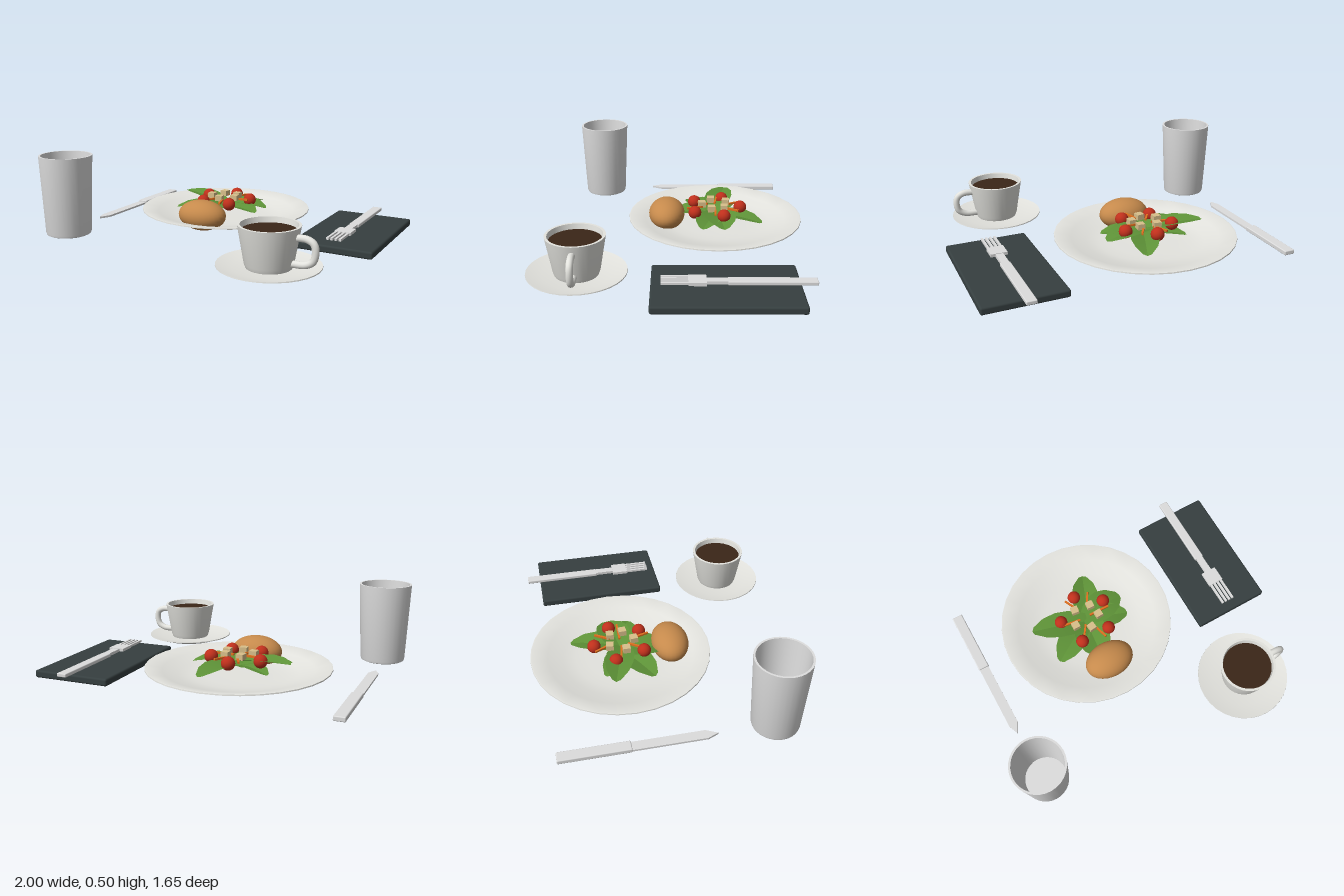
import * as THREE from 'three';
import { toCreasedNormals } from 'three/addons/utils/BufferGeometryUtils.js';
import { RoundedBoxGeometry } from 'three/addons/geometries/RoundedBoxGeometry.js';

const material = (name, color, extra = {}) => {
  const m = new THREE.MeshStandardMaterial({ color, ...extra });
  m.name = name;
  return m;
};

export function createModel() {
  const root = new THREE.Group();
  root.name = 'placeSetting';
  const ceramic = material('ceramic', 0xe4e4df);
  const glassMat = material('glass', 0xdedede);
  const steel = material('steel', 0xdcdcdc);
  const slate = material('napkin', 0x363f40);
  const coffeeMat = material('coffee', 0x3a2618);
  const bread = material('bread', 0xc68a4c);
  const green = material('leaf', 0x5f9438, { side: THREE.DoubleSide });
  const red = material('tomato', 0xc0301c);
  const orange = material('carrot', 0xe0701f);
  const tan = material('crouton', 0xd8bf8a);

  const group = (name, x = 0, y = 0, z = 0) => {
    const g = new THREE.Group();
    g.name = name;
    g.position.set(x, y, z);
    root.add(g);
    return g;
  };
  const add = (parent, name, geometry, mat, x = 0, y = 0, z = 0) => {
    const m = new THREE.Mesh(geometry, mat);
    m.name = name;
    m.position.set(x, y, z);
    parent.add(m);
    return m;
  };
  // Closed profile, from the underside axis out to the rim and back to the axis
  const lathe = (profile, crease = 0.6, sides = 32) => toCreasedNormals(
    new THREE.LatheGeometry(profile.map(([r, y]) => new THREE.Vector2(r, y)), sides), crease);
  const box = (w, h, d) => new THREE.BoxGeometry(w, h, d);
  const rounded = (w, h, d, r) => new RoundedBoxGeometry(w, h, d, 2, r);

  // Dinner plate
  const meal = group('meal', -0.137, 0, -0.273);
  add(meal, 'plate', lathe([
    [0, 0.012], [0.14, 0.01], [0.18, 0.008], [0.2, 0.018], [0.28, 0.02], [0.363, 0.031], [0.46, 0.057],
    [0.553, 0.085], [0.552, 0.092], [0.545, 0.093], [0.45, 0.072], [0.36, 0.046], [0.28, 0.036],
    [0.2, 0.034], [0, 0.034]], 0.9), ceramic);

  // Bread roll
  add(meal, 'breadRoll', new THREE.SphereGeometry(1, 28, 18), bread, 0, 0.101, 0.31).scale.set(0.16, 0.096, 0.115);

  // Salad leaves: cross-sections folded up along the midrib
  const leaf = (bx, bz, tx, tz, width, baseY, tipY) => {
    const dx = tx - bx, dz = tz - bz, len = Math.hypot(dx, dz);
    const px = -dz / len, pz = dx / len;
    const shape = [0.3, 0.72, 0.98, 1, 0.78, 0.3];
    const n = shape.length - 1, pos = [], index = [];
    shape.forEach((s, i) => {
      const t = i / n, w = s * width / 2;
      const y = baseY + (tipY - baseY) * t + 0.015 * Math.sin(Math.PI * t);
      for (const side of [-1, 0, 1]) {
        const u = t - (side && i === n ? 0.03 : 0);
        pos.push(bx + dx * u + px * w * side, y + Math.abs(side) * w * 0.25, bz + dz * u + pz * w * side);
      }
      if (i === n) return;
      for (const a of [i * 3, i * 3 + 1]) index.push(a, a + 1, a + 4, a, a + 4, a + 3);
    });
    const g = new THREE.BufferGeometry();
    g.setAttribute('position', new THREE.Float32BufferAttribute(pos, 3));
    g.setIndex(index);
    return toCreasedNormals(g, 0.35);
  };
  [
    [0.0, 0.04, 0.13, -0.295, 0.17, 0.10, 0.085],
    [0.06, 0.03, -0.345, -0.08, 0.17, 0.095, 0.15],
    [-0.03, 0.0, 0.275, -0.05, 0.2, 0.11, 0.1],
    [-0.04, -0.02, 0.26, 0.085, 0.17, 0.085, 0.095],
    [0.0, -0.04, -0.03, 0.27, 0.22, 0.1, 0.09],
    [0.03, -0.02, -0.28, 0.165, 0.18, 0.085, 0.09],
    [0.04, 0.04, -0.22, -0.12, 0.13, 0.08, 0.085],
  ].forEach((p, i) => add(meal, 'saladLeaf' + (i + 1), leaf(...p), green));

  // Cherry tomatoes in a ring of five
  for (let i = 0; i < 5; i++) {
    const a = i * Math.PI * 2 / 5;
    add(meal, 'tomato' + (i + 1), new THREE.SphereGeometry(0.041, 20, 14), red,
      -0.162 * Math.sin(a), 0.143, -0.162 * Math.cos(a));
  }

  // Croutons
  [[-0.042, -0.07], [0.06, -0.055], [-0.085, 0.025], [0.08, 0.025], [0, 0.083]].forEach(([x, z], i) =>
    add(meal, 'crouton' + (i + 1), box(0.046, 0.035, 0.046), tan, x, 0.164, z).rotation.y = 0.06 * (i - 2));

  // Carrot sticks, laid between two points
  [
    [-0.064, -0.162, -0.02, -0.07], [0.092, -0.146, 0.04, -0.06], [-0.155, -0.018, -0.04, 0.0],
    [0.03, 0.0, 0.165, 0.003], [-0.025, 0.045, -0.08, 0.125], [0.02, 0.08, 0.05, 0.18],
  ].forEach(([x0, z0, x1, z1], i) => {
    const m = add(meal, 'carrotStick' + (i + 1), box(Math.hypot(x1 - x0, z1 - z0), 0.012, 0.012), orange,
      (x0 + x1) / 2, 0.152, (z0 + z1) / 2);
    m.rotation.y = -Math.atan2(z1 - z0, x1 - x0);
  });

  // Tumbler
  const tumbler = group('tumbler', -0.837, 0, 0.493);
  add(tumbler, 'tumblerBody', lathe([
    [0, 0], [0.125, 0], [0.136, 0.005], [0.14, 0.018], [0.163, 0.497], [0.151, 0.497],
    [0.13, 0.025], [0, 0.025]], 0.75), glassMat);

  // Saucer and cup
  const cup = group('cupAndSaucer', 0.565, 0, 0.534);
  add(cup, 'saucer', lathe([
    [0, 0.006], [0.2, 0.006], [0.287, 0.034], [0.286, 0.04], [0.2, 0.023], [0, 0.021]]), ceramic);
  add(cup, 'cupBody', lathe([
    [0, 0.022], [0.125, 0.022], [0.134, 0.045], [0.171, 0.257], [0.156, 0.257], [0.122, 0.05], [0, 0.05]]), ceramic);
  add(cup, 'coffee', new THREE.CylinderGeometry(0.152, 0.149, 0.01, 32), coffeeMat, 0, 0.22, 0);
  const handlePath = new THREE.CatmullRomCurve3([
    [0.15, 0.204], [0.215, 0.203], [0.252, 0.182], [0.262, 0.14], [0.25, 0.09], [0.21, 0.065], [0.13, 0.06],
  ].map(([x, y]) => new THREE.Vector3(x, y, 0)));
  add(cup, 'cupHandle', new THREE.TubeGeometry(handlePath, 28, 0.02, 12), ceramic);

  // Folded napkin
  add(root, 'napkin', rounded(0.49, 0.045, 0.816, 0.012), slate, 0.751, 0.026, -0.292);

  // Fork lying on the napkin
  const fork = group('fork', 0.749, 0, 0);
  add(fork, 'forkHandle', rounded(0.06, 0.022, 0.483, 0.005), steel, 0, 0.068, -0.542);
  add(fork, 'forkNeck', box(0.046, 0.018, 0.13), steel, 0, 0.07, -0.245);
  add(fork, 'forkHead', box(0.1, 0.018, 0.098), steel, 0, 0.073, -0.137);
  for (let i = 0; i < 4; i++)
    add(fork, 'forkTine' + (i + 1), box(0.014, 0.014, 0.155), steel, (i - 1.5) * 0.025, 0.074, -0.017);

  // Knife: rounded handle and a pointed flat blade
  const knife = group('knife', -0.86, 0, 0);
  add(knife, 'knifeHandle', rounded(0.067, 0.028, 0.41, 0.006), steel, 0, 0.019, -0.54);
  const outline = [[-0.03, -0.34], [0.03, -0.34], [0.03, 0.085], [-0.004, 0.152], [-0.03, 0.09]];
  const blade = new THREE.ExtrudeGeometry(
    new THREE.Shape(outline.map(([x, z]) => new THREE.Vector2(x, -z))), { depth: 0.012, bevelEnabled: false });
  add(knife, 'knifeBlade', blade.rotateX(-Math.PI / 2), steel, 0, 0.01, 0);

  return root;
}
